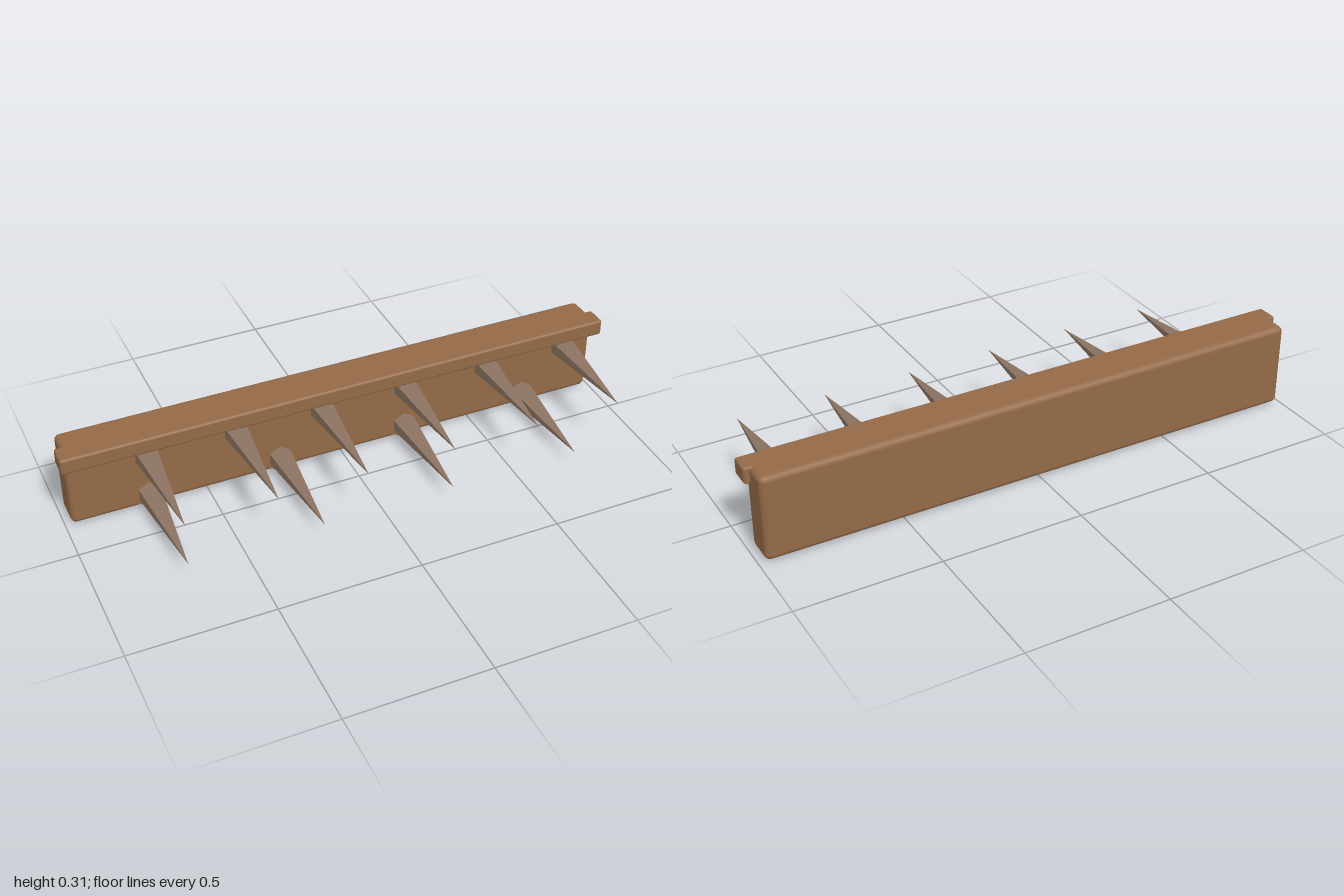
import * as THREE from 'three';
import { RoundedBoxGeometry } from 'three/addons/geometries/RoundedBoxGeometry.js';

export function createModel() {
  const model = new THREE.Group();
  model.name = 'spikedBar';

  const wood = new THREE.MeshStandardMaterial({ color: 0x946a48 });
  wood.name = 'brown wood';
  const spikeMat = new THREE.MeshStandardMaterial({ color: 0x8f7664, flatShading: true });
  spikeMat.name = 'grey brown spike';

  const add = (name, geometry, material, x, y, z, parent = model) => {
    const mesh = new THREE.Mesh(geometry, material);
    mesh.name = name;
    mesh.position.set(x, y, z);
    parent.add(mesh);
    return mesh;
  };

  // Main plank and the narrow rail along its upper front edge
  add('plank', new RoundedBoxGeometry(1.96, 0.304, 0.116, 2, 0.02), wood, 0, 0.163, -0.197);
  add('topRail', new RoundedBoxGeometry(2, 0.059, 0.077, 2, 0.009), wood, 0, 0.2855, -0.1365);

  // Six-sided spikes pointing forward, each seated in a hexagonal collar
  const baseZ = -0.145, tipZ = 0.256;
  const spikeGeo = new THREE.ConeGeometry(0.0437, tipZ - baseZ, 6);
  spikeGeo.rotateX(Math.PI / 2);
  spikeGeo.translate(0, 0, (tipZ + baseZ) / 2);
  const collarGeo = new THREE.CylinderGeometry(0.0615, 0.0615, 0.036, 6);
  collarGeo.rotateX(Math.PI / 2);

  const rows = [
    { name: 'upper', y: 0.224, xs: [-0.707, -0.393, -0.08, 0.235, 0.548, 0.86] },
    { name: 'lower', y: 0.0615, xs: [-0.707, -0.236, 0.235, 0.705] },
  ];
  for (const row of rows) {
    row.xs.forEach((x, i) => {
      const group = new THREE.Group();
      group.name = `${row.name}Spike${i + 1}`;
      group.position.set(x, row.y, 0);
      model.add(group);
      add('spike', spikeGeo, spikeMat, 0, 0, 0, group);
      add('collar', collarGeo, wood, 0, 0, -0.158, group);
    });
  }
  return model;
}
